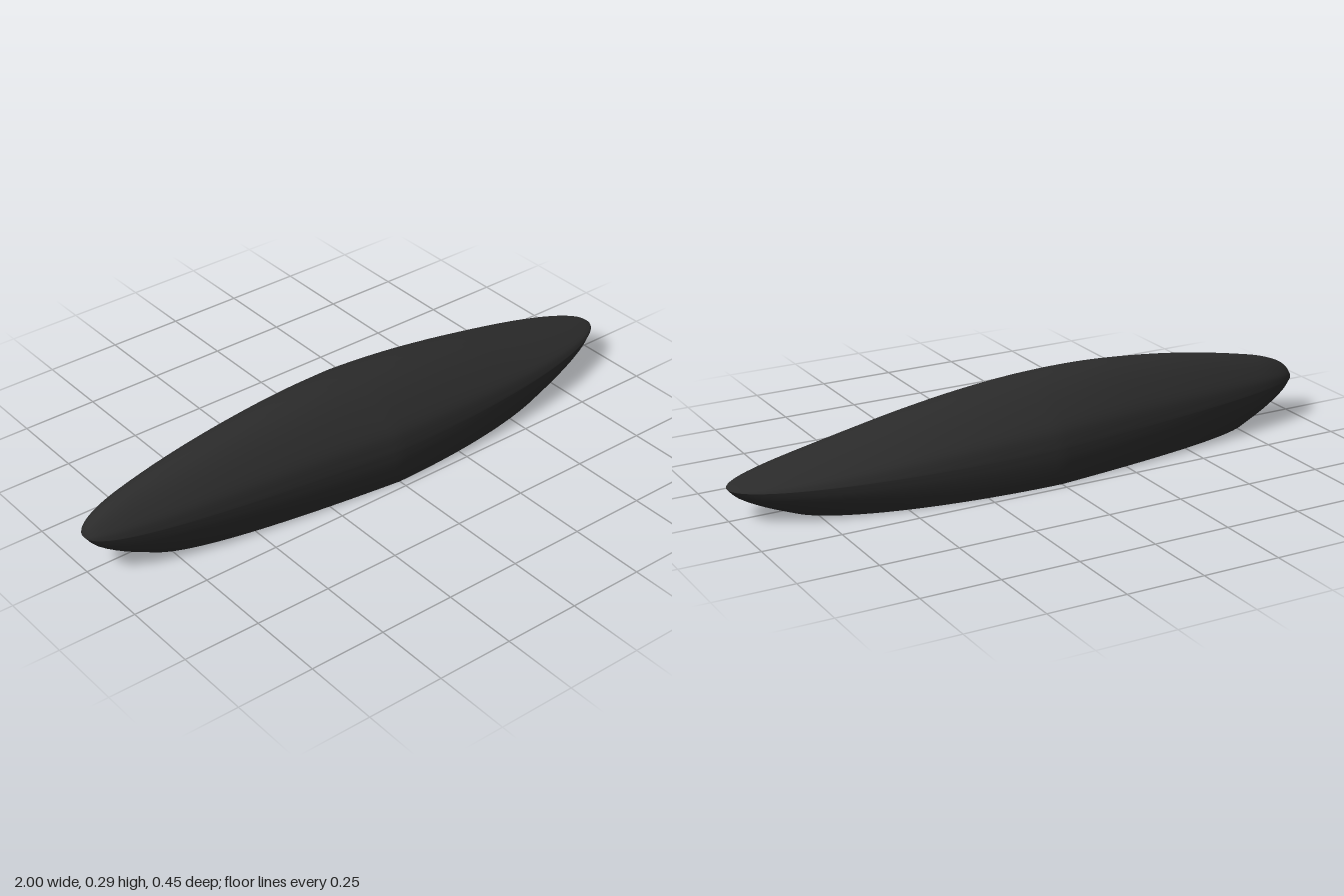
import * as THREE from 'three';

const HALF_WIDTH = 0.228;

// Half-width along the length: slender at -x, fuller at +x, meeting in a soft corner at x = 0
const widthAt = (u) => HALF_WIDTH * (u < 0 ? Math.pow(1 + u, 0.43) : Math.sqrt(Math.max(0, 1 - u * u)));
// Height of the widest seam between the side wall and the dome
const rimAt = (u) => 0.113 - 0.013 * u;

const spline = (points, count) =>
  new THREE.CatmullRomCurve3(points.map(([x, y, z = 0]) => new THREE.Vector3(x, y, z))).getPoints(count);

// Stations along the length: position and dome height above the seam
const stations = spline([
  [-1, 0], [-0.993, 0.022], [-0.97, 0.046], [-0.9, 0.078], [-0.8, 0.103], [-0.6, 0.141],
  [-0.4, 0.166], [-0.2, 0.179], [0, 0.175], [0.2, 0.158], [0.4, 0.129], [0.6, 0.091],
  [0.8, 0.051], [0.95, 0.018], [0.99, 0.007], [1, 0],
], 120);

// Side wall: width factor, height as a share of the seam, length factor
const wall = spline([
  [0.97, 0, 0.815], [0.993, 0.36, 0.905], [0.995, 0.72, 0.972], [0.975, 1, 1],
], 9);
// Dome: width factor, height as a share of the dome
const dome = spline([
  [0.975, 0], [0.96, 0.07], [0.88, 0.32], [0.67, 0.6], [0.44, 0.82], [0.22, 0.95], [0, 1],
], 24);

// One side of the cross-section, from the base up to the ridge
function halfSection({ x, y: h }) {
  const u = THREE.MathUtils.clamp(x, -1, 1);
  const w = widthAt(u), rim = rimAt(u);
  return [
    ...wall.map((p) => [u * p.z, rim * p.y, w * p.x]),
    ...dome.slice(1).map((p) => [u, rim + Math.max(0, h) * p.y, w * p.x]),
  ];
}

function shellGeometry() {
  const positions = [], index = [];
  let rows = 0;
  stations.forEach((s) => {
    const half = halfSection(s);
    const mirrored = half.slice(0, -1).reverse().map(([x, y, z]) => [x, y, -z]);
    const section = [...half, ...mirrored];
    rows = section.length;
    positions.push(...section.flat());
  });
  for (let i = 0; i < stations.length - 1; i++) {
    for (let j = 0; j < rows - 1; j++) {
      const a = i * rows + j, b = a + rows;
      index.push(a, b, b + 1, a, b + 1, a + 1);
    }
  }
  const geometry = new THREE.BufferGeometry();
  geometry.setAttribute('position', new THREE.Float32BufferAttribute(positions, 3));
  geometry.setIndex(index);
  geometry.computeVertexNormals();
  return geometry;
}

// Flat underside following the lowest edge of the shell
function baseGeometry() {
  const edge = stations.map((s) => halfSection(s)[0]);
  const outline = [
    ...edge.map(([x, , z]) => new THREE.Vector2(x, z)),
    ...edge.slice(1, -1).reverse().map(([x, , z]) => new THREE.Vector2(x, -z)),
  ];
  return new THREE.ShapeGeometry(new THREE.Shape(outline)).rotateX(Math.PI / 2);
}

export function createModel() {
  const group = new THREE.Group();
  group.name = 'streamlinedHull';
  const charcoal = new THREE.MeshStandardMaterial({ color: 0x2b2b2b });
  charcoal.name = 'charcoal';

  const shell = new THREE.Mesh(shellGeometry(), charcoal);
  shell.name = 'shell';
  const base = new THREE.Mesh(baseGeometry(), charcoal);
  base.name = 'flatBase';
  group.add(shell, base);
  return group;
}
